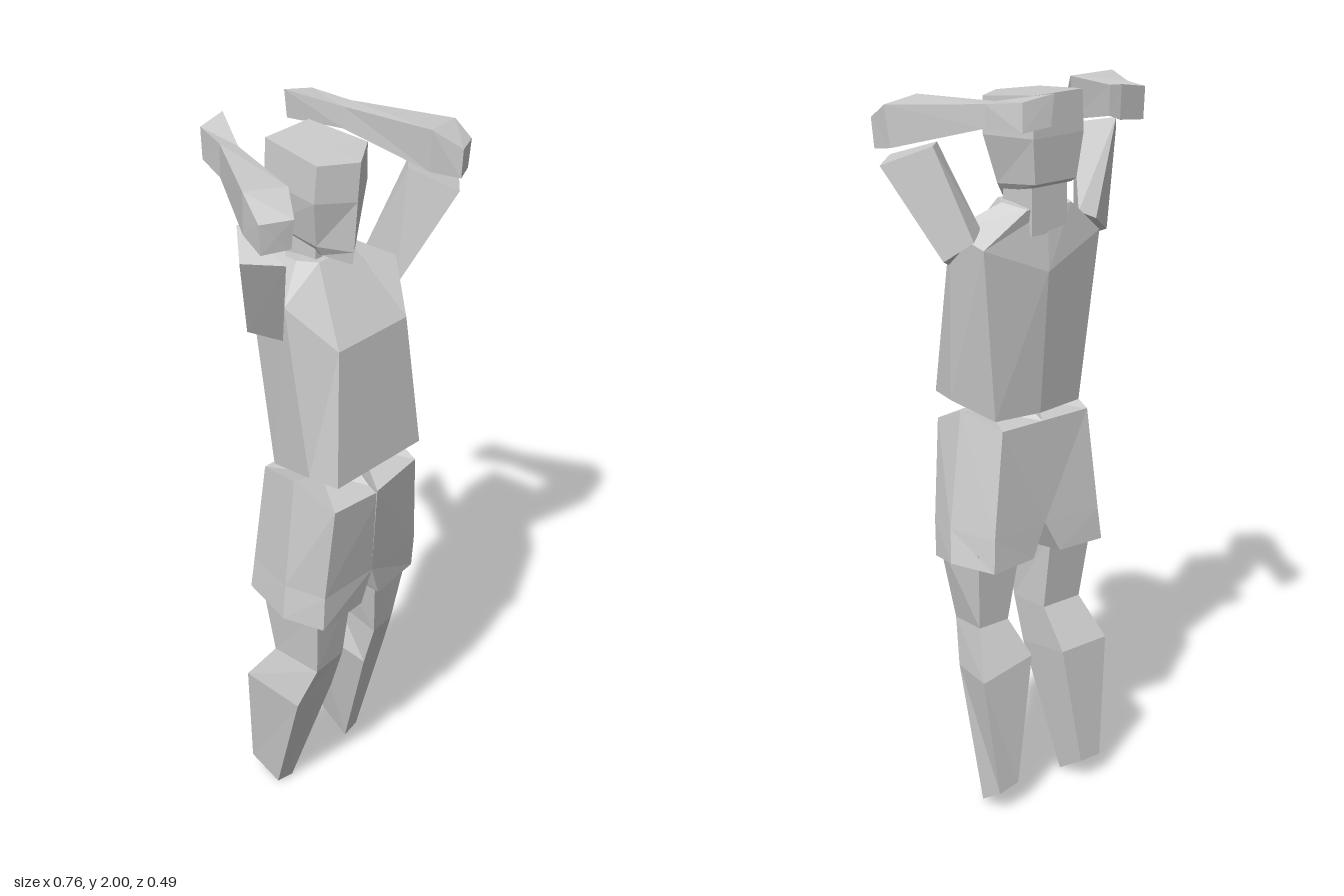
import * as THREE from 'three';

const clay = new THREE.MeshStandardMaterial({ color: 0xcccccc });
clay.name = 'light grey';
clay.flatShading = true;

// Closed faceted solid through rings of equal point count, capped at both ends
function loft(name, rings) {
  const n = rings[0].length, tris = [];
  const centre = (r) => [0, 1, 2].map((k) => r.reduce((s, p) => s + p[k], 0) / n);
  for (let i = 0; i < rings.length - 1; i++) {
    for (let j = 0; j < n; j++) {
      const k = (j + 1) % n;
      const a = rings[i][j], b = rings[i][k], c = rings[i + 1][k], d = rings[i + 1][j];
      tris.push([a, b, c], [a, c, d]);
    }
  }
  const first = rings[0], last = rings[rings.length - 1];
  for (let j = 0; j < n; j++) {
    const k = (j + 1) % n;
    tris.push([centre(first), first[k], first[j]], [centre(last), last[j], last[k]]);
  }
  // Turn all faces outward using the signed volume
  const v = (p) => new THREE.Vector3(...p);
  const volume = tris.reduce((s, [a, b, c]) => s + v(a).dot(v(b).cross(v(c))), 0);
  if (volume < 0) tris.forEach((t) => t.reverse());
  const geometry = new THREE.BufferGeometry();
  geometry.setAttribute('position', new THREE.Float32BufferAttribute(tris.flat(2), 3));
  geometry.computeVertexNormals();
  const mesh = new THREE.Mesh(geometry, clay);
  mesh.name = name;
  return mesh;
}

export function createModel() {
  const model = new THREE.Group();
  model.name = 'figure';
  const add = (name, ...rings) => model.add(loft(name, rings));

  // Torso: waist, chest and shoulders, collar
  add('torso',
    [[-0.175, 1.13, 0.23], [0.15, 1.13, 0.23], [0.17, 1.13, 0.14], [0.14, 1.1, -0.01],
      [0, 1.1, -0.03], [-0.155, 1.1, -0.01], [-0.185, 1.13, 0.14]],
    [[-0.14, 1.5, 0.2], [0.12, 1.5, 0.2], [0.205, 1.61, 0.09], [0.2, 1.58, -0.04],
      [0.01, 1.5, -0.075], [-0.18, 1.58, -0.06], [-0.21, 1.61, 0.08]],
    [[-0.07, 1.68, 0.07], [0.06, 1.68, 0.07], [0.09, 1.68, 0.02], [0.07, 1.67, -0.06],
      [0, 1.66, -0.06], [-0.08, 1.67, -0.06], [-0.1, 1.68, 0.02]]);

  // Neck
  add('neck', ...[1.6, 1.78].map((y) =>
    [[-0.06, y, 0.05], [0.06, y, 0.05], [0.06, y, -0.065], [-0.06, y, -0.065]]));

  // Head with a ridge down the face
  add('head',
    [[-0.05, 1.69, 0.06], [0, 1.665, 0.12], [0.05, 1.69, 0.06], [0.06, 1.73, -0.08], [-0.06, 1.73, -0.08]],
    [[-0.07, 1.72, 0.06], [0, 1.7, 0.125], [0.07, 1.72, 0.06], [0.07, 1.74, -0.09], [-0.07, 1.74, -0.09]],
    [[-0.1, 1.85, 0.08], [0, 1.84, 0.135], [0.105, 1.85, 0.075], [0.085, 1.86, -0.1], [-0.085, 1.86, -0.1]],
    [[-0.095, 1.95, 0.085], [0.005, 1.945, 0.14], [0.105, 1.95, 0.075], [0.08, 1.97, -0.1], [-0.08, 1.97, -0.1]]);

  // Upper arms: shoulder to elbow
  add('leftUpperArm',
    [[0.16, 1.62, 0.02], [0.215, 1.6, -0.02], [0.275, 1.55, 0.03], [0.21, 1.52, 0.09]],
    [[0.235, 1.845, 0.1], [0.28, 1.845, 0.06], [0.38, 1.795, 0.15], [0.29, 1.8, 0.225]]);
  add('rightUpperArm',
    [[-0.16, 1.62, 0], [-0.2, 1.6, -0.025], [-0.28, 1.55, 0.02], [-0.215, 1.52, 0.08]],
    [[-0.21, 1.84, 0.08], [-0.31, 1.85, 0.02], [-0.385, 1.8, 0.1], [-0.32, 1.8, 0.19]]);

  // Forearms: elbow, bulge, wrist, hand
  add('leftForearm',
    [[0.3, 1.91, 0.225], [0.37, 1.91, 0.195], [0.365, 1.83, 0.19], [0.3, 1.83, 0.22]],
    [[0.25, 1.96, 0.16], [0.37, 1.95, 0.14], [0.36, 1.84, 0.13], [0.26, 1.84, 0.15]],
    [[0.2, 1.97, -0.09], [0.245, 1.97, -0.105], [0.245, 1.91, -0.105], [0.2, 1.91, -0.09]],
    [[0.13, 2, -0.23], [0.215, 1.985, -0.21], [0.22, 1.91, -0.215], [0.14, 1.92, -0.23]]);
  add('rightForearm',
    [[-0.29, 1.91, 0.19], [-0.37, 1.91, 0.15], [-0.365, 1.83, 0.15], [-0.29, 1.83, 0.18]],
    [[-0.235, 1.955, 0.12], [-0.345, 1.965, 0.075], [-0.34, 1.85, 0.07], [-0.24, 1.84, 0.11]],
    [[-0.165, 1.97, -0.11], [-0.2, 1.98, -0.14], [-0.2, 1.89, -0.14], [-0.165, 1.89, -0.11]],
    [[-0.08, 2, -0.245], [-0.165, 1.985, -0.24], [-0.165, 1.9, -0.235], [-0.08, 1.91, -0.24]]);

  // Shorts: one solid per thigh, waist to crotch to hem
  add('leftShort',
    [[-0.03, 1.06, 0.24], [0.16, 1.06, 0.21], [0.17, 1.11, 0.1], [0.14, 1.08, -0.04], [0, 1.08, -0.04], [0, 1.13, 0.09]],
    [[0, 0.78, 0.2], [0.195, 0.78, 0.185], [0.225, 0.79, 0.08], [0.19, 0.79, -0.065], [0, 0.79, -0.05], [0, 0.77, 0.08]],
    [[0.04, 0.68, 0.19], [0.205, 0.68, 0.17], [0.24, 0.7, 0.06], [0.2, 0.7, -0.075], [0.05, 0.7, -0.06], [0.035, 0.69, 0.08]]);
  add('rightShort',
    [[0, 1.05, 0.235], [-0.185, 1.06, 0.23], [-0.2, 1.11, 0.1], [-0.16, 1.08, -0.04], [0, 1.08, -0.04], [0, 1.12, 0.09]],
    [[0, 0.78, 0.2], [-0.19, 0.78, 0.2], [-0.225, 0.79, 0.09], [-0.18, 0.79, -0.065], [0, 0.79, -0.05], [0, 0.77, 0.08]],
    [[-0.03, 0.68, 0.19], [-0.195, 0.68, 0.2], [-0.235, 0.69, 0.09], [-0.19, 0.7, -0.07], [-0.045, 0.7, -0.06], [-0.03, 0.69, 0.08]]);

  // Legs: under the hem, knee, calf, foot
  add('leftLeg',
    [[0.05, 0.72, 0.17], [0.2, 0.72, 0.16], [0.21, 0.74, -0.02], [0.06, 0.74, -0.02]],
    [[0.085, 0.5, 0.14], [0.17, 0.5, 0.13], [0.2, 0.52, -0.01], [0.1, 0.52, -0.01]],
    [[0.09, 0.37, 0.1], [0.2, 0.38, 0.08], [0.24, 0.39, -0.075], [0.065, 0.42, -0.07]],
    [[0.155, 0, -0.025], [0.21, 0.01, -0.03], [0.215, 0.06, -0.11], [0.145, 0.07, -0.105]]);
  add('rightLeg',
    [[-0.035, 0.72, 0.16], [-0.185, 0.72, 0.17], [-0.2, 0.74, -0.02], [-0.05, 0.74, -0.02]],
    [[-0.05, 0.5, 0.14], [-0.165, 0.5, 0.15], [-0.17, 0.51, 0], [-0.04, 0.51, 0]],
    [[-0.05, 0.37, 0.1], [-0.19, 0.37, 0.1], [-0.2, 0.4, -0.08], [-0.04, 0.4, -0.08]],
    [[-0.085, 0, -0.02], [-0.145, 0.01, -0.02], [-0.15, 0.06, -0.115], [-0.08, 0.06, -0.115]]);

  return model;
}
